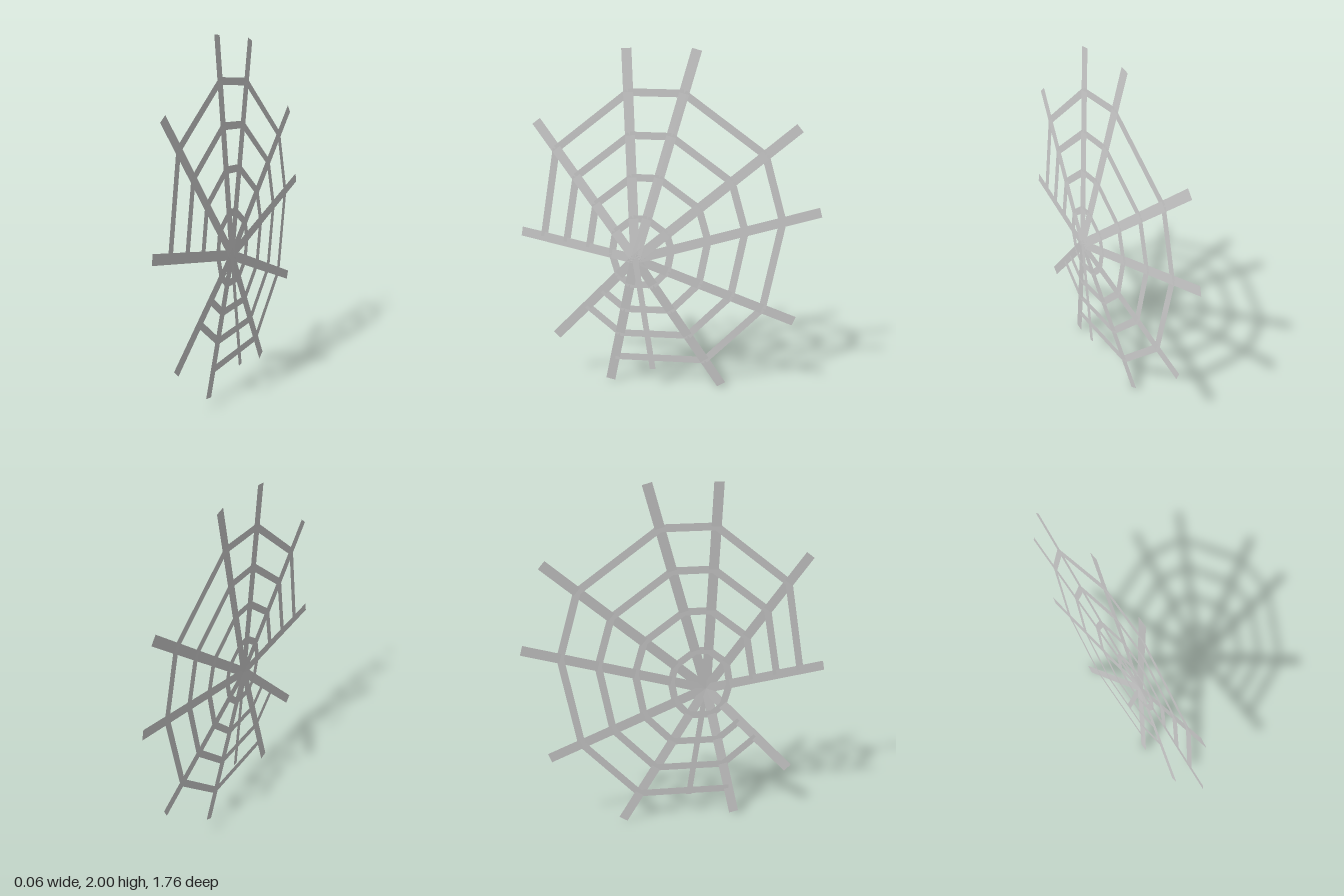
import * as THREE from 'three';

const material = new THREE.MeshStandardMaterial({ color: 0xcccccc, side: THREE.DoubleSide });
const HUB = new THREE.Vector3(0.03, 0.81, 0.18);
const TIP_X = -0.03;

// Paper-thin flat ribbon from a to b, facing +x
function strip(name, a, b, width) {
  const dir = b.clone().sub(a);
  const geometry = new THREE.PlaneGeometry(width, dir.length());
  dir.normalize();
  const side = dir.clone().cross(new THREE.Vector3(1, 0, 0)).normalize();
  const normal = side.clone().cross(dir);
  const mid = a.clone().add(b).multiplyScalar(0.5);
  geometry.applyMatrix4(new THREE.Matrix4().makeBasis(side, dir, normal).setPosition(mid));
  const mesh = new THREE.Mesh(geometry, material);
  mesh.name = name;
  return mesh;
}

export function createModel() {
  const web = new THREE.Group();
  web.name = 'spiderWeb';

  // Spoke tips as [z, y], in order around the hub
  const tips = [
    [0.227, 2.0], [-0.163, 1.993], [-0.735, 1.575], [-0.87, 1.105], [-0.746, 0.45],
    [-0.33, 0.02], [0.352, 0.014], [0.683, 0.288], [0.873, 0.94], [0.757, 1.595],
  ].map(([z, y]) => new THREE.Vector3(TIP_X, y, z));

  const spokes = new THREE.Group();
  spokes.name = 'spokes';
  tips.forEach((tip) => spokes.add(strip('spoke', HUB, tip, 0.057)));
  web.add(spokes);

  // Cross threads at even fractions of the spokes; two sectors are torn
  const torn = { 6: [0.8], 7: [0.4, 0.6, 0.8] };
  for (const f of [0.2, 0.4, 0.6, 0.8]) {
    const ring = new THREE.Group();
    ring.name = 'threadRing';
    tips.forEach((tip, i) => {
      if (torn[i] && torn[i].includes(f)) return;
      const next = tips[(i + 1) % tips.length];
      ring.add(strip('thread', HUB.clone().lerp(tip, f), HUB.clone().lerp(next, f), 0.042));
    });
    web.add(ring);
  }

  // Narrow loose thread hanging from the hub
  web.add(strip('hangingThread', HUB, new THREE.Vector3(0.03, 0.123, 0.08), 0.035));
  return web;
}
